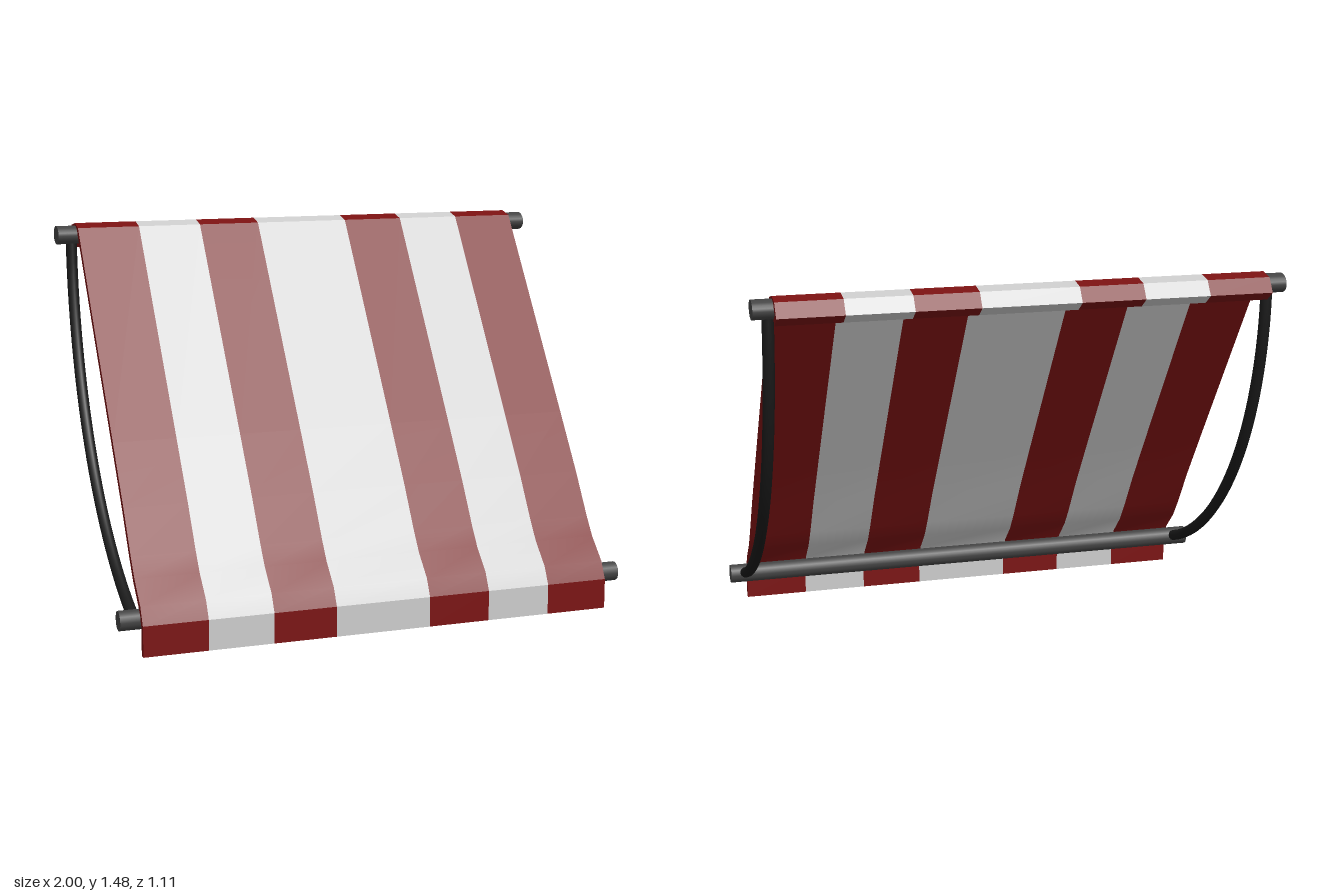
import * as THREE from 'three';
import { toCreasedNormals } from 'three/addons/utils/BufferGeometryUtils.js';

const mat = (color) => new THREE.MeshStandardMaterial({ color });

// Closed outline of constant thickness around an open centre line
function ribbonShape(points, half) {
  const p = points.map(([z, y]) => new THREE.Vector2(z, y));
  const normal = (a, b) => new THREE.Vector2(a.y - b.y, b.x - a.x).normalize();
  const sideA = [], sideB = [];
  p.forEach((c, i) => {
    const n0 = i > 0 ? normal(p[i - 1], c) : normal(c, p[1]);
    const n1 = i < p.length - 1 ? normal(c, p[i + 1]) : n0;
    const m = n0.clone().add(n1).normalize();
    const d = half / Math.max(m.dot(n0), 0.6);
    sideA.push(c.clone().addScaledVector(m, d));
    sideB.unshift(c.clone().addScaledVector(m, -d));
  });
  return new THREE.Shape([...sideA, ...sideB]);
}

export function createModel() {
  const model = new THREE.Group();
  const add = (parent, name, geometry, material) => {
    const mesh = new THREE.Mesh(geometry, material);
    mesh.name = name;
    parent.add(mesh);
    return mesh;
  };

  const red = mat(0x7a1212), pale = mat(0xcccccc);
  const steel = mat(0x444444), black = mat(0x1a1a1a);

  // Striped canopy: front valance, slope, and wrap over the top bar (z, y)
  const profile = [
    [0.54, 0], [0.54, 0.113], [0.508, 0.174], [0.427, 0.253], [0.375, 0.325],
    [0.273, 0.484], [0.122, 0.7], [-0.408, 1.45], [-0.461, 1.463],
    [-0.513, 1.453], [-0.54, 1.415], [-0.5, 1.387],
  ];
  const shape = ribbonShape(profile, 0.0125);
  const canopy = new THREE.Group();
  canopy.name = 'canopy';
  model.add(canopy);
  const edges = [-0.925, -0.68, -0.43, -0.187, 0.187, 0.43, 0.68, 0.925];
  for (let i = 0; i < edges.length - 1; i++) {
    const geo = new THREE.ExtrudeGeometry(shape, {
      depth: edges[i + 1] - edges[i], bevelEnabled: false,
    });
    geo.rotateY(-Math.PI / 2).translate(edges[i + 1], 0, 0);
    add(canopy, i % 2 ? 'paleStripe' : 'redStripe', toCreasedNormals(geo, 0.4),
      i % 2 ? pale : red);
  }

  // Horizontal bars; the top one is oval
  const bar = (name, y, z, ry, rz) => {
    const geo = new THREE.CylinderGeometry(1, 1, 2, 20).rotateZ(Math.PI / 2);
    geo.scale(1, ry, rz).translate(0, y, z);
    add(model, name, geo, steel);
  };
  bar('topBar', 1.43, -0.461, 0.036, 0.049);
  bar('frontBar', 0.125, 0.484, 0.037, 0.037);

  // Curved side arms: circular arcs joining the two bars
  const centre = { z: 0.912, y: 1.43 }, radius = 1.373;
  const endAngle = Math.atan2(1.305, 0.428);
  for (const side of [1, -1]) {
    const points = [];
    for (let i = 0; i <= 12; i++) {
      const a = (endAngle * i) / 12;
      points.push(new THREE.Vector3(side * 0.941,
        centre.y - radius * Math.sin(a), centre.z - radius * Math.cos(a)));
    }
    const curve = new THREE.CatmullRomCurve3(points);
    add(model, side > 0 ? 'leftArm' : 'rightArm',
      new THREE.TubeGeometry(curve, 32, 0.022, 12), black);
  }

  return model;
}
